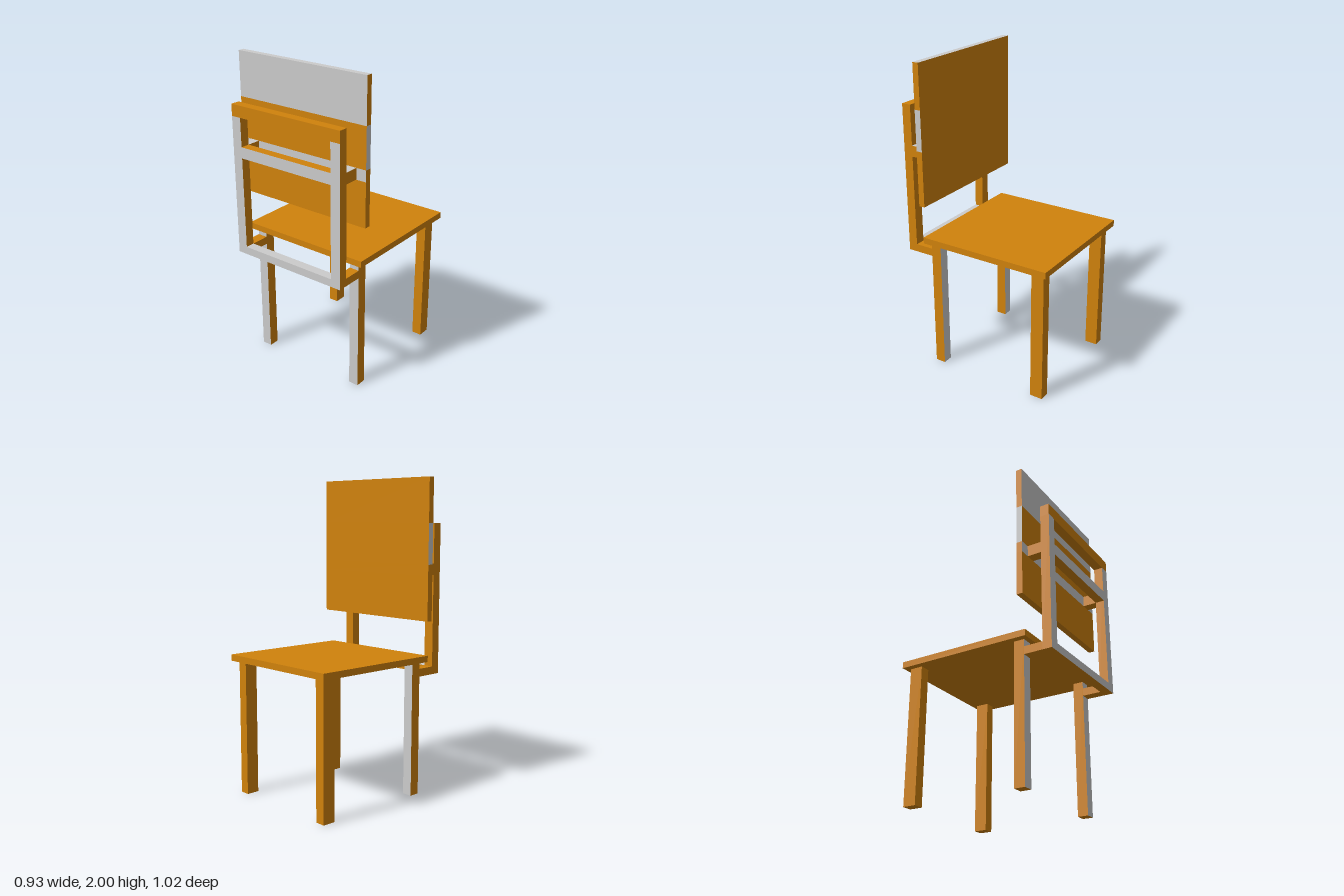
import * as THREE from 'three';

const wood = new THREE.MeshStandardMaterial({ color: 0xd0820c });
const grey = new THREE.MeshStandardMaterial({ color: 0xcccccc });
const FACES = ['+x', '-x', '+y', '-y', '+z', '-z'];

export function createModel() {
  const chair = new THREE.Group();
  chair.name = 'chair';

  // Box given by its limits on each axis; the listed faces are grey, the rest wood
  function board(name, [x0, x1], [y0, y1], [z0, z1], greyFaces = []) {
    const materials = FACES.map((f) => (greyFaces.includes(f) ? grey : wood));
    const mesh = new THREE.Mesh(
      new THREE.BoxGeometry(x1 - x0, y1 - y0, z1 - z0),
      greyFaces.length ? materials : wood
    );
    mesh.position.set((x0 + x1) / 2, (y0 + y1) / 2, (z0 + z1) / 2);
    mesh.name = name;
    chair.add(mesh);
  }

  const inner = 0.333, outer = 0.398;   // legs and posts share these x limits
  const frameZ = [0.452, 0.511];        // depth of the outer frame

  // Seat
  board('seat', [-0.438, 0.438], [0.86, 0.9], [-0.511, 0.363]);

  for (const [side, s] of [['left', 1], ['right', -1]]) {
    const x = s > 0 ? [inner, outer] : [-outer, -inner];
    // Legs
    board(side + 'PanelSideLeg', x, [0, 0.86], [0.265, 0.332], ['+z', '-z']);
    board(side + 'OpenSideLeg', x, [0, 0.86], [-0.477, -0.394]);
    // Frame post, the arm joining it to the leg and the stub holding the panel
    board(side + 'Post', x, [0.765, 1.65], frameZ, ['+z']);
    board(side + 'Arm', x, [0.765, 0.815], [0.332, 0.452]);
    board(side + 'PanelStub', x, [1.4, 1.47], [0.363, 0.452], ['+y']);
  }

  // Frame rails
  board('topRail', [-outer, outer], [1.65, 1.723], frameZ);
  board('middleRail', [-inner, inner], [1.4, 1.47], frameZ, ['+z']);
  board('bottomRail', [-inner, inner], [0.765, 0.815], frameZ, ['+z', '+y']);

  // Back panel, in bands that differ only in which faces are grey
  const bands = [
    [1.12, 1.4, []],
    [1.4, 1.47, ['+z']],
    [1.47, 1.723, ['+x', '-x']],
    [1.723, 2, ['+z', '+y']],
  ];
  bands.forEach(([y0, y1, faces], i) =>
    board('backPanelBand' + (i + 1), [-0.464, 0.464], [y0, y1], [0.324, 0.363], faces));

  return chair;
}
